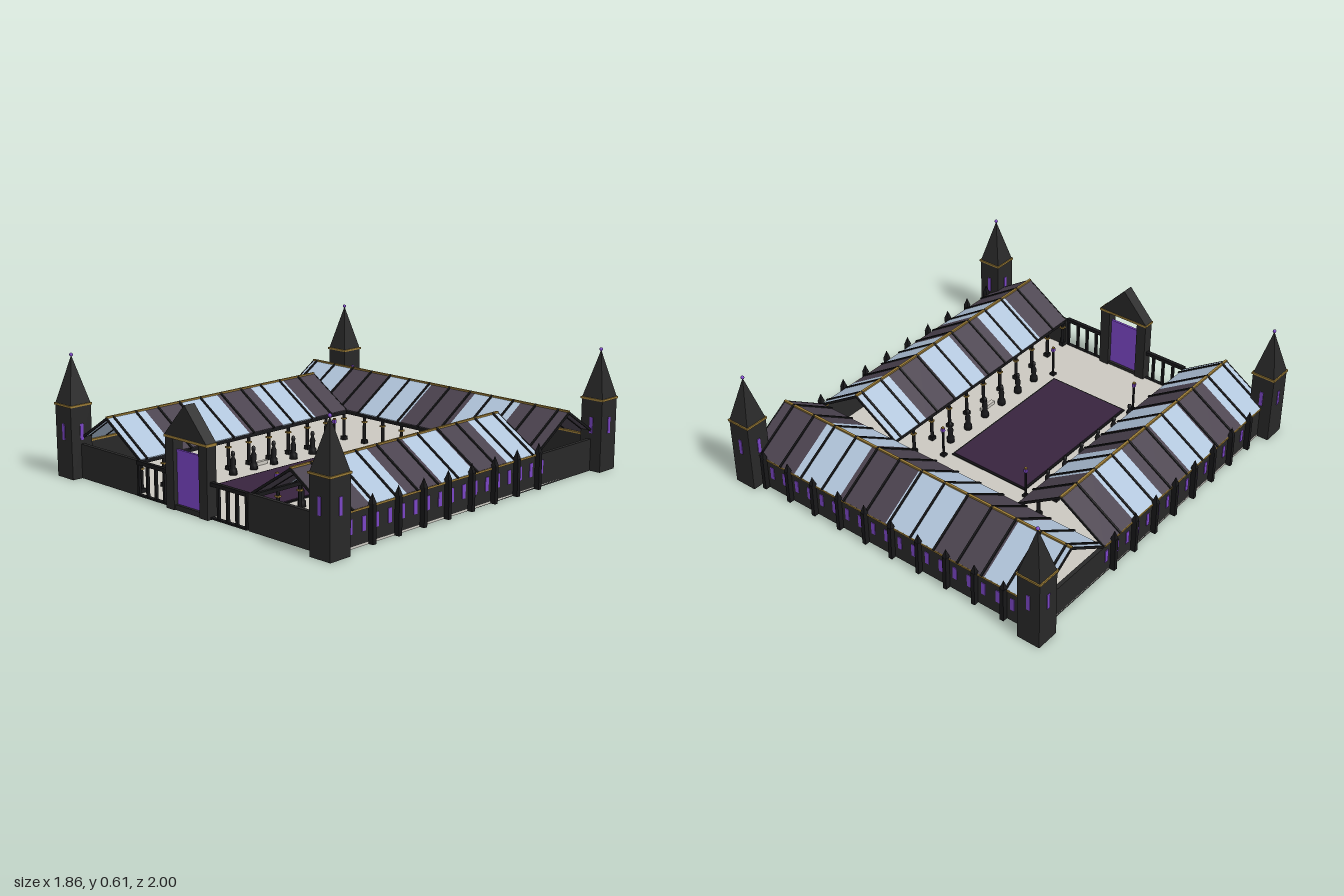
import * as THREE from 'three';

const mat = (name, color, side = THREE.FrontSide) => {
  const m = new THREE.MeshStandardMaterial({ color, side });
  m.name = name;
  return m;
};

export function createModel() {
  const root = new THREE.Group();
  root.name = 'courtyardHall';
  const stone = mat('dark stone', 0x282828);
  const iron = mat('black iron', 0x171719);
  const gold = mat('gold trim', 0x9a7b36);
  const violet = mat('violet glass', 0x7a45c4);
  const pale = mat('pale paving', 0xcbc8c0);
  const plum = mat('plum lawn', 0x38243e);
  const blue = mat('pale blue roof', 0xb0c4da);
  const slate = mat('slate roof', 0x4a424e);

  const add = (parent, name, geo, material, x, y, z) => {
    const m = new THREE.Mesh(geo, material);
    m.name = name;
    m.position.set(x, y, z);
    parent.add(m);
    return m;
  };
  // box placed by its base height
  const box = (parent, name, material, w, h, d, x, y, z) =>
    add(parent, name, new THREE.BoxGeometry(w, h, d), material, x, y + h / 2, z);
  // square pyramid with sides along the axes
  const pyramid = (parent, name, material, w, h, x, y, z) => {
    const g = new THREE.CylinderGeometry(0, w / Math.SQRT2, h, 4, 1).rotateY(Math.PI / 4).toNonIndexed();
    g.computeVertexNormals();
    return add(parent, name, g, material, x, y + h / 2, z);
  };
  const group = (name, parent = root) => {
    const g = new THREE.Group();
    g.name = name;
    parent.add(g);
    return g;
  };

  // Paving, lawn and its kerb
  box(root, 'paving', pale, 1.73, 0.01, 1.865, 0, 0, 0);
  box(root, 'lawnKerb', iron, 0.455, 0.006, 0.83, 0, 0.01, 0.21);
  box(root, 'lawn', plum, 0.435, 0.008, 0.81, 0, 0.011, 0.21);

  // Corner towers
  for (const sx of [-1, 1]) for (const sz of [-1, 1]) {
    const t = group('tower');
    t.position.set(sx * 0.865, 0, sz * 0.935);
    box(t, 'towerBody', stone, 0.12, 0.355, 0.12, 0, 0, 0);
    box(t, 'towerTrim', gold, 0.13, 0.01, 0.13, 0, 0.355, 0);
    pyramid(t, 'spire', stone, 0.118, 0.23, 0, 0.365, 0);
    add(t, 'finial', new THREE.SphereGeometry(0.009, 10, 8), violet, 0, 0.598, 0);
    for (const s of [-1, 1]) {
      box(t, 'towerWindow', violet, 0.018, 0.08, 0.004, 0, 0.19, s * 0.061);
      box(t, 'towerWindow', violet, 0.004, 0.08, 0.018, s * 0.061, 0.19, 0);
    }
  }

  // Outer walls, drawn along local x with the outside facing local +z
  function outerWall(name, wallLength, trimCentre, trimLength, first, count) {
    const w = group(name);
    box(w, 'wall', stone, wallLength, 0.16, 0.02, 0, 0, -0.01);
    box(w, 'cornice', gold, trimLength, 0.009, 0.024, trimCentre, 0.16, -0.008);
    const pitch = 0.1625;
    for (let i = 0; i < count; i++) {
      const x = first + i * pitch;
      box(w, 'buttress', iron, 0.02, 0.18, 0.026, x, 0, 0.013);
      pyramid(w, 'pinnacle', iron, 0.026, 0.045, x, 0.18, 0.012);
      for (const s of [-1, 1]) {
        if (Math.abs(x + s * 0.0406) < 0.86) {
          box(w, 'wallWindow', violet, 0.022, 0.066, 0.004, x + s * 0.0406, 0.065, 0.001);
        }
      }
    }
    return w;
  }
  const leftWall = outerWall('leftWall', 1.86, -0.22, 1.32, -0.857, 9);
  leftWall.rotation.y = Math.PI / 2;
  leftWall.position.x = 0.865;
  const rightWall = outerWall('rightWall', 1.86, 0.22, 1.32, -0.386, 8);
  rightWall.rotation.y = -Math.PI / 2;
  rightWall.position.x = -0.865;
  const backWall = outerWall('backWall', 1.73, 0, 1.62, -0.77, 10);
  backWall.rotation.y = Math.PI;
  backWall.position.z = -0.935;

  // Open gable roof: ridge along local x, panels alternate in colour, ribs on top
  const HALF = 0.243, RISE = 0.157, EAVE = 0.168;
  const slopeLength = Math.hypot(HALF, RISE), tilt = Math.atan2(RISE, HALF);
  function gableRoof(name, length, colours, firstRib, ribPitch, ribCount) {
    const r = group(name);
    const panel = length / 6;
    for (const s of [-1, 1]) {
      const slope = group('roofSlope', r);
      slope.position.set(0, EAVE + RISE / 2, s * HALF / 2);
      slope.rotation.x = s * tilt;
      for (let i = 0; i < 6; i++) {
        add(slope, 'roofPanel', new THREE.BoxGeometry(panel, 0.006, slopeLength), colours[i % 2],
          -length / 2 + panel * (i + 0.5), 0, 0);
      }
      for (let i = 0; i < ribCount; i++) {
        add(slope, 'roofRib', new THREE.BoxGeometry(0.01, 0.014, slopeLength + 0.008), iron,
          firstRib + i * ribPitch, 0.002, 0);
      }
      // dark rafters along both open ends
      for (const e of [-1, 1]) {
        add(slope, 'endRafter', new THREE.BoxGeometry(0.006, 0.012, slopeLength), iron,
          e * (length / 2 - 0.002), -0.002, 0);
      }
    }
    box(r, 'ridgeCap', gold, length, 0.01, 0.012, 0, EAVE + RISE - 0.002, 0);
    return r;
  }
  const backRoof = gableRoof('backRoof', 1.73, [blue, slate], -0.835, 0.1365, 13);
  backRoof.position.z = -0.692;
  // side roofs: local x runs towards the front
  const rightRoof = gableRoof('rightRoof', 1.375, [slate, blue], -0.567, 0.135, 10);
  rightRoof.rotation.y = -Math.PI / 2;
  rightRoof.position.set(-0.622, 0, 0.2375);
  const leftRoof = gableRoof('leftRoof', 1.375, [blue, slate], -0.647, 0.135, 10);
  leftRoof.rotation.y = -Math.PI / 2;
  leftRoof.position.set(0.622, 0, 0.2375);

  // Inner colonnades that carry the courtyard eaves
  function column(parent, x, z) {
    box(parent, 'columnBase', iron, 0.026, 0.02, 0.026, x, 0.01, z);
    add(parent, 'columnShaft', new THREE.CylinderGeometry(0.008, 0.009, 0.14, 8), iron, x, 0.09, z);
    box(parent, 'columnCapital', gold, 0.022, 0.008, 0.022, x, 0.12, z);
  }
  const arcade = group('colonnade');
  for (const s of [-1, 1]) {
    box(arcade, 'sideBeam', iron, 0.016, 0.018, 1.38, s * 0.388, 0.148, 0.24);
    for (let i = 0; i < 11; i++) column(arcade, s * 0.388, -0.44 + i * 0.135);
  }
  box(arcade, 'backBeam', iron, 0.78, 0.018, 0.016, 0, 0.148, -0.458);
  for (let i = 1; i < 6; i++) column(arcade, -0.388 + i * 0.1293, -0.458);

  // Front walls, open screens and gate
  const front = group('frontSide');
  for (const s of [-1, 1]) {
    box(front, 'frontWall', stone, 0.44, 0.17, 0.02, s * 0.595, 0, 0.93);
    box(front, 'screenRail', iron, 0.24, 0.018, 0.02, s * 0.255, 0.155, 0.94);
    box(front, 'screenSill', iron, 0.24, 0.008, 0.02, s * 0.255, 0.004, 0.94);
    for (const x of [0.185, 0.245, 0.305, 0.368]) {
      box(front, 'screenPost', iron, 0.013, 0.15, 0.013, s * x, 0.01, 0.94);
    }
    box(front, 'gatePillar', stone, 0.055, 0.335, 0.055, s * 0.1135, 0, 0.94);
  }
  box(front, 'gateDoor', violet, 0.172, 0.255, 0.012, 0, 0.025, 0.94);
  box(front, 'gateSill', stone, 0.172, 0.025, 0.04, 0, 0, 0.94);
  box(front, 'gateTrim', gold, 0.29, 0.012, 0.064, 0, 0.334, 0.94);
  const gable = new THREE.Shape([
    new THREE.Vector2(-0.142, 0), new THREE.Vector2(0.142, 0), new THREE.Vector2(0, 0.155)]);
  add(front, 'gateRoof', new THREE.ExtrudeGeometry(gable, { depth: 0.06, bevelEnabled: false }),
    stone, 0, 0.346, 0.91);

  // Courtyard statues, lamps and benches
  const statueProfile = [[0, 0], [0.02, 0], [0.02, 0.025], [0.012, 0.035], [0.015, 0.07],
    [0.007, 0.09], [0.011, 0.102], [0.008, 0.115], [0, 0.12]].map(([x, y]) => new THREE.Vector2(x, y));
  const statueGeo = new THREE.LatheGeometry(statueProfile, 12);
  const yard = group('courtyardFurniture');
  for (const s of [-1, 1]) {
    for (let i = 0; i < 6; i++) add(yard, 'statue', statueGeo, iron, s * 0.305, 0.01, -0.125 + i * 0.135);
    for (const z of [-0.235, 0.655]) {
      box(yard, 'lampFoot', iron, 0.026, 0.012, 0.026, s * 0.257, 0.01, z);
      box(yard, 'lampPost', iron, 0.009, 0.14, 0.009, s * 0.257, 0.02, z);
      box(yard, 'lampGlass', violet, 0.016, 0.018, 0.016, s * 0.257, 0.158, z);
      box(yard, 'lampCap', gold, 0.012, 0.007, 0.012, s * 0.257, 0.176, z);
    }
    box(yard, 'bench', pale, 0.02, 0.018, 0.095, s * 0.343, 0.01, 0.21);
  }
  return root;
}
